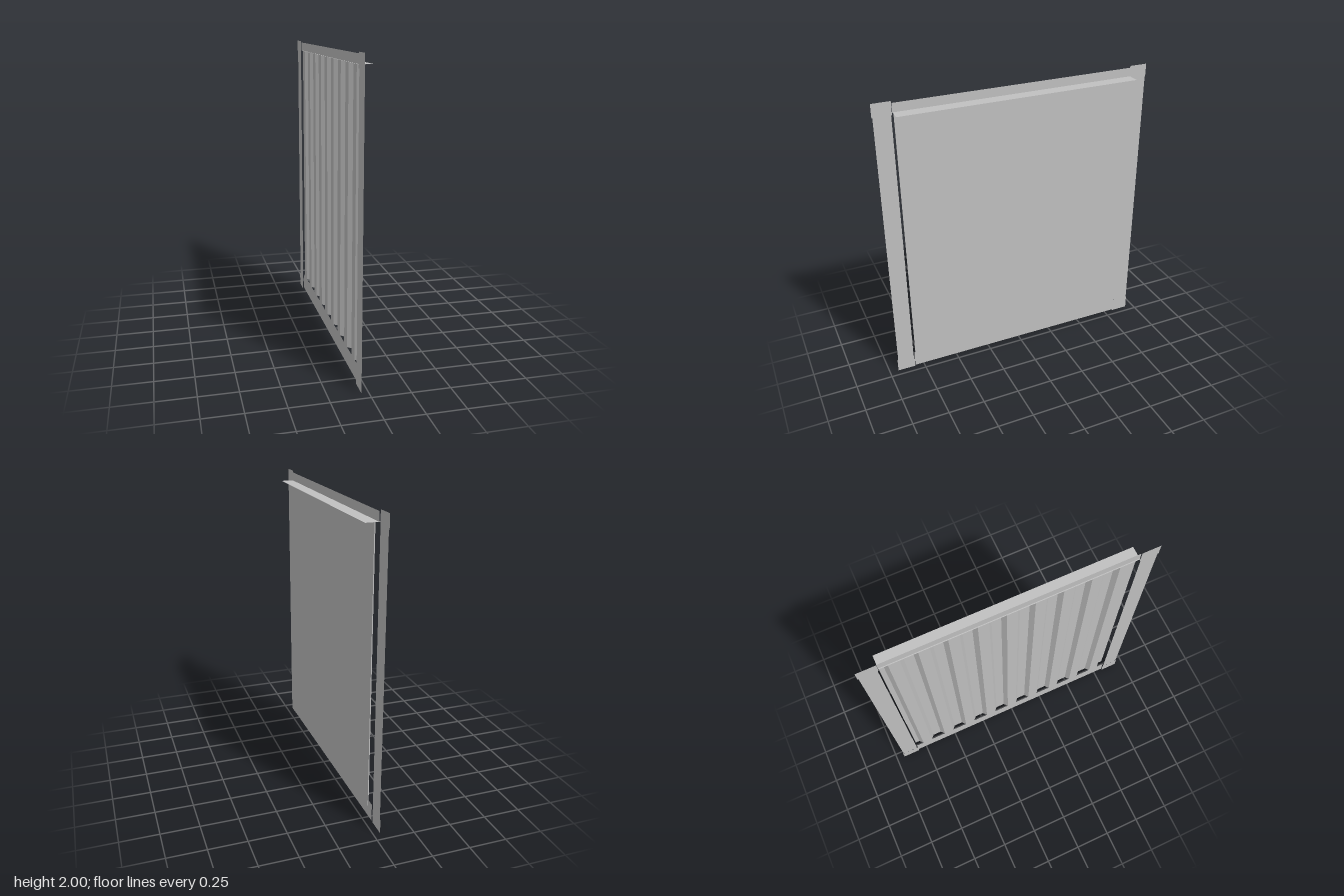
import * as THREE from 'three';

export function createModel() {
  const root = new THREE.Group();
  root.name = 'ribbedPanel';
  const grey = new THREE.MeshStandardMaterial({ color: 0xc0c0c0, side: THREE.DoubleSide });
  grey.name = 'grey';

  function add(name, geometry) {
    const mesh = new THREE.Mesh(geometry, grey);
    mesh.name = name;
    root.add(mesh);
    return mesh;
  }

  // thin sheet standing in the yz plane
  function sheet(name, x, y0, y1, z0, z1) {
    const g = new THREE.PlaneGeometry(z1 - z0, y1 - y0);
    g.rotateY(Math.PI / 2);
    add(name, g).position.set(x, (y0 + y1) / 2, (z0 + z1) / 2);
  }

  const halfWidth = 0.815;
  const bottom = 0.13, top = 1.93;

  // panel: flat front, nine tapered ribs along the back
  const ribs = 9, pitch = 0.181, ribHalf = 0.035, slope = 0.025;
  const frontX = -0.01, grooveX = -0.013, ribX = -0.04;
  const profile = new THREE.Shape();
  profile.moveTo(frontX, -halfWidth);
  profile.lineTo(frontX, halfWidth);
  profile.lineTo(grooveX, halfWidth);
  for (let i = ribs - 1; i >= 0; i--) {
    const c = (i - (ribs - 1) / 2) * pitch;
    profile.lineTo(grooveX, c + ribHalf + slope);
    profile.lineTo(ribX, c + ribHalf);
    profile.lineTo(ribX, c - ribHalf);
    profile.lineTo(grooveX, c - ribHalf - slope);
  }
  profile.lineTo(grooveX, -halfWidth);
  profile.closePath();
  const panel = new THREE.ExtrudeGeometry(profile, { depth: top - bottom, bevelEnabled: false });
  panel.rotateX(-Math.PI / 2);
  add('ribbedSheet', panel).position.y = bottom;

  // flat ledge across the top of the panel
  const ledge = new THREE.PlaneGeometry(0.09, halfWidth * 2);
  ledge.rotateX(-Math.PI / 2);
  add('topLedge', ledge).position.y = top + 0.001;

  // horizontal rails
  sheet('topRail', -0.039, top, 1.99, -halfWidth, halfWidth);
  sheet('bottomRail', -0.039, 0.013, bottom, -halfWidth, halfWidth);

  // stiles and corner plates, mirrored front to back
  for (const s of [1, -1]) {
    const span = (a, b) => (s > 0 ? [a, b] : [-b, -a]);
    sheet('sideStile', -0.043, 0.09, 1.915, ...span(0.822, 0.935));
    sheet('topCorner', -0.045, 1.91, 2, ...span(0.816, 0.94));
    sheet('bottomCorner', -0.045, 0, 0.095, ...span(0.816, 0.94));
  }

  return root;
}
